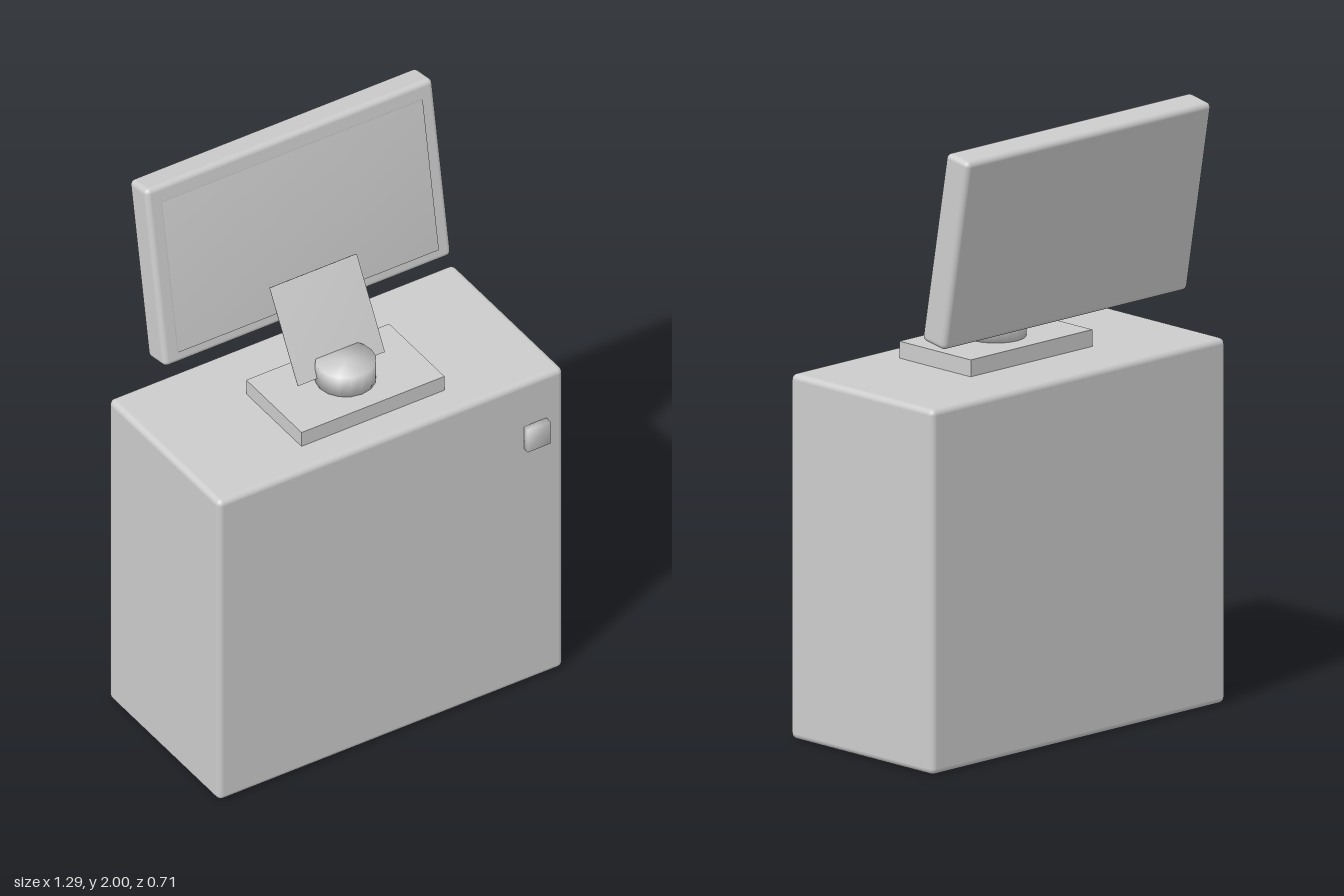
import * as THREE from 'three';
import { mergeVertices } from 'three/addons/utils/BufferGeometryUtils.js';
import { RoundedBoxGeometry } from 'three/addons/geometries/RoundedBoxGeometry.js';

// Share normals across all edges for softly shaded small parts
function soften(geometry) {
  geometry.deleteAttribute('normal');
  geometry.deleteAttribute('uv');
  const g = mergeVertices(geometry);
  g.computeVertexNormals();
  return g;
}

export function createModel() {
  const model = new THREE.Group();
  model.name = 'cabinetWithDisplay';
  const grey = new THREE.MeshStandardMaterial({ color: 0xcccccc });
  grey.name = 'lightGrey';

  const add = (name, geometry, x, y, z, parent = model) => {
    const mesh = new THREE.Mesh(geometry, grey);
    mesh.name = name;
    mesh.position.set(x, y, z);
    parent.add(mesh);
    return mesh;
  };

  // Cabinet and its front button
  add('cabinet', new RoundedBoxGeometry(1.292, 1.19, 0.645, 3, 0.02), 0, 0.595, 0.0145);
  add('button', soften(new THREE.BoxGeometry(0.085, 0.088, 0.03)), 0.538, 0.975, 0.345);

  // Stand: foot, round hub and leaning neck plate
  add('standFoot', new THREE.BoxGeometry(0.535, 0.056, 0.322), 0, 1.217, 0.069);
  add('standHub', soften(new THREE.CylinderGeometry(0.097, 0.097, 0.076, 16)), 0, 1.282, 0.07);
  const neck = add('standNeck', soften(new THREE.BoxGeometry(0.324, 0.328, 0.006)), 0, 1.408, -0.037);
  neck.rotation.x = -Math.PI / 6;

  // Tilted display
  const display = new THREE.Group();
  display.name = 'display';
  display.position.set(0, 1.677, -0.251);
  display.rotation.x = -THREE.MathUtils.degToRad(10);
  model.add(display);
  add('displayHousing', new RoundedBoxGeometry(1.076, 0.642, 0.104, 3, 0.018), 0, 0, 0, display);
  add('screen', soften(new THREE.BoxGeometry(0.974, 0.543, 0.018)), 0, -0.007, 0.051, display);

  return model;
}
